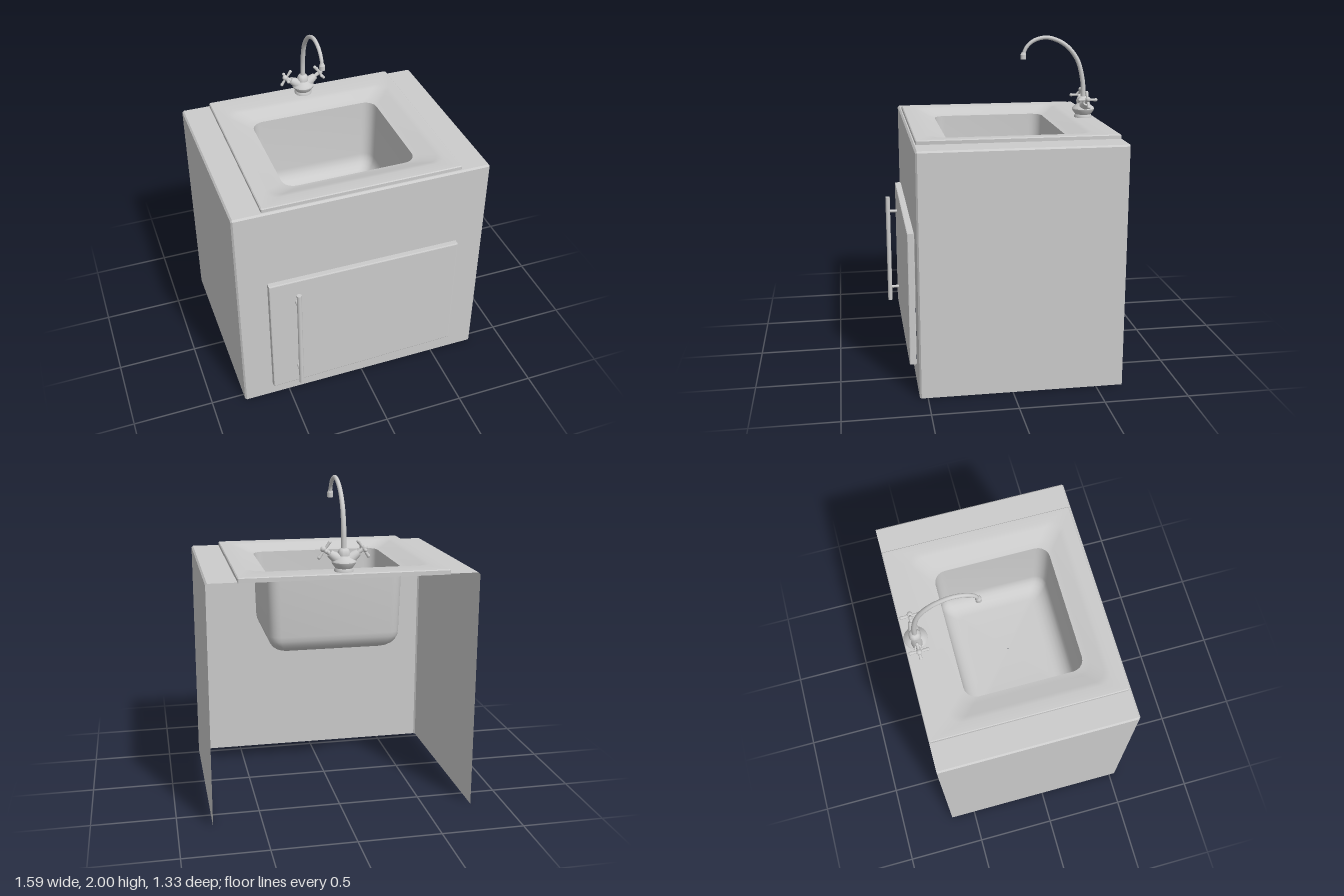
import * as THREE from 'three';
import { toCreasedNormals } from 'three/addons/utils/BufferGeometryUtils.js';

const mat = new THREE.MeshStandardMaterial({ color: 0xcccccc });
const sheet = new THREE.MeshStandardMaterial({ color: 0xcccccc, side: THREE.DoubleSide });
const V = (x, y, z) => new THREE.Vector3(x, y, z);

function add(parent, name, geometry, material = mat) {
  const mesh = new THREE.Mesh(geometry, material);
  mesh.name = name;
  parent.add(mesh);
  return mesh;
}

// Skin between rings of points, each ring having the same number of points
function loft(rings, closed, crease = 0.6) {
  const n = rings[0].length, index = [];
  for (let r = 0; r < rings.length - 1; r++) {
    for (let i = 0; i < (closed ? n : n - 1); i++) {
      const j = (i + 1) % n, a = r * n, b = a + n;
      index.push(a + i, a + j, b + j, a + i, b + j, b + i);
    }
  }
  const g = new THREE.BufferGeometry().setFromPoints(rings.flat());
  g.setIndex(index);
  return toCreasedNormals(g, crease);
}

// Rounded rectangle lying flat at height y
function roundRing(hx, z0, z1, r, y, seg = 5) {
  const pts = [];
  [[1, z1, 1], [1, z0, -1], [-1, z0, -1], [-1, z1, 1]].forEach(([sx, z, sz], c) => {
    for (let i = 0; i <= seg; i++) {
      const a = Math.PI / 2 * (1 - c - i / seg);
      pts.push(V(sx * (hx - r) + r * Math.cos(a), y, z - sz * r + r * Math.sin(a)));
    }
  });
  return pts;
}

// Cylinder or cone from p to q
function rod(parent, name, p, q, r0, r1 = r0, sides = 16) {
  const m = add(parent, name, new THREE.CylinderGeometry(r1, r0, p.distanceTo(q), sides));
  m.position.copy(p).lerp(q, 0.5);
  m.quaternion.setFromUnitVectors(V(0, 1, 0), q.clone().sub(p).normalize());
  return m;
}

function ball(parent, name, p, r) {
  add(parent, name, new THREE.SphereGeometry(r, 14, 10)).position.copy(p);
}

const polygon = (Type, pts) => new Type(pts.map(p => new THREE.Vector2(...p)));

// Door outline, its lower edge slightly slanted
const doorOutline = d => [
  [-0.61 + d, 0.10 + d], [0.605 - d, 0.13 + d], [0.605 - d, 0.94 - d], [-0.61 + d, 0.95 - d]];

function makeCabinet() {
  const g = new THREE.Group();
  g.name = 'cabinet';
  const X = 0.793, H = 1.46, back = -0.66, front = 0.547, b = 0.01;
  // Side walls with a chamfered front edge; back and bottom stay open
  for (const s of [-1, 1]) {
    const ring = y => [V(s * X, y, back), V(s * X, y, front - b), V(s * (X - b), y, front)];
    add(g, 'sideWall', loft([ring(0), ring(H - b)], false, 0.3), sheet);
  }
  // Chamfer around the top
  const lower = [[-X, back], [-X, front - b], [b - X, front], [X - b, front], [X, front - b], [X, back]];
  const upper = [[b - X, back], [b - X, front - b], [b - X, front - b],
    [X - b, front - b], [X - b, front - b], [X - b, back]];
  add(g, 'topEdge', loft([lower.map(([x, z]) => V(x, H - b, z)),
    upper.map(([x, z]) => V(x, H, z))], false, 0.3), sheet);
  // Front wall with the door opening
  const wall = polygon(THREE.Shape, [[b - X, 0], [X - b, 0], [X - b, H - b], [b - X, H - b]]);
  wall.holes.push(polygon(THREE.Path, doorOutline(0.012)));
  add(g, 'frontWall', new THREE.ShapeGeometry(wall), sheet).position.z = front;
  // Worktop, cut out for the sink
  const x = X - b, z = front - b;
  const top = polygon(THREE.Shape, [[-x, -z], [x, -z], [x, -back], [0.605, -back],
    [0.605, -0.52], [-0.605, -0.52], [-0.605, -back], [-x, -back]]);
  const topMesh = add(g, 'worktop', new THREE.ShapeGeometry(top), sheet);
  topMesh.rotation.x = -Math.PI / 2;
  topMesh.position.y = H;
  return g;
}

function makeDoor() {
  const g = new THREE.Group();
  g.name = 'door';
  const bevel = 0.006;
  const panel = new THREE.ExtrudeGeometry(polygon(THREE.Shape, doorOutline(bevel)), {
    depth: 0.03, bevelEnabled: true, bevelSize: bevel, bevelThickness: bevel, bevelSegments: 2 });
  add(g, 'doorPanel', panel).position.z = 0.548 + bevel;
  rod(g, 'handleBar', V(-0.445, 0.15, 0.65), V(-0.445, 0.89, 0.65), 0.015);
  for (const y of [0.245, 0.79]) rod(g, 'handleMount', V(-0.445, y, 0.585), V(-0.445, y, 0.65), 0.01);
  return g;
}

function makeSink() {
  const rings = [
    roundRing(0.615, -0.66, 0.53, 0.008, 1.455),
    roundRing(0.615, -0.66, 0.53, 0.008, 1.48),
    roundRing(0.61, -0.655, 0.525, 0.008, 1.485),
    roundRing(0.55, -0.515, 0.455, 0.07, 1.485),
    roundRing(0.52, -0.485, 0.425, 0.07, 1.479),
    roundRing(0.45, -0.425, 0.365, 0.07, 1.45),
    roundRing(0.413, -0.39, 0.33, 0.075, 1.442),
  ];
  // Bowl wall, rounded foot and floor
  const floor = 0.94, r = 0.11;
  for (let i = 0; i <= 6; i++) {
    const a = i / 6 * Math.PI / 2, d = 0.01 + r * (1 - Math.cos(a));
    rings.push(roundRing(0.413 - d, -0.39 + d, 0.33 - d, 0.075 - d * 0.4, floor + r * (1 - Math.sin(a))));
  }
  rings.push(roundRing(0.002, -0.032, -0.028, 0.001, floor - 0.004));
  const m = new THREE.Mesh(loft(rings, true), sheet);
  m.name = 'sink';
  return m;
}

function makeFaucet() {
  const g = new THREE.Group();
  g.name = 'faucet';
  // Turned body
  const profile = [[0, 1.48], [0.055, 1.48], [0.055, 1.495], [0.05, 1.505], [0.068, 1.53], [0.071, 1.54],
    [0.066, 1.55], [0.045, 1.565], [0.036, 1.575], [0.036, 1.595], [0.028, 1.61], [0.017, 1.618], [0, 1.62]];
  const body = new THREE.LatheGeometry(profile.map(p => new THREE.Vector2(...p)), 24);
  add(g, 'body', toCreasedNormals(body, 0.7)).position.z = -0.585;
  // Gooseneck spout, thinning towards its tip
  const path = new THREE.CatmullRomCurve3([[1.60, -0.585], [1.72, -0.577], [1.85, -0.54], [1.94, -0.465],
    [1.984, -0.375], [1.988, -0.315], [1.965, -0.25], [1.92, -0.208], [1.87, -0.195]]
    .map(([y, z]) => V(0, y, z)));
  const spout = new THREE.TubeGeometry(path, 36, 0.016, 12);
  const pos = spout.attributes.position;
  for (let i = 0; i < pos.count; i++) {
    const t = Math.floor(i / 13) / 36, c = path.getPointAt(t);
    const p = V(0, 0, 0).fromBufferAttribute(pos, i).sub(c).multiplyScalar(1 - 0.3 * t).add(c);
    pos.setXYZ(i, p.x, p.y, p.z);
  }
  add(g, 'spout', spout);
  rod(g, 'spoutTip', V(0, 1.857, -0.195), V(0, 1.885, -0.196), 0.018);
  rod(g, 'spoutCollar', V(0, 1.885, -0.196), V(0, 1.9, -0.198), 0.018, 0.012);
  // Cross-shaped tap on each side
  for (const s of [-1, 1]) {
    const tap = new THREE.Group();
    tap.name = s > 0 ? 'leftTap' : 'rightTap';
    const axis = V(s * 0.82, 0.57, 0), c = V(s * 0.113, 1.61, -0.585);
    const along = d => c.clone().addScaledVector(axis, d);
    rod(tap, 'tapArm', along(-0.1), along(-0.035), 0.036, 0.021);
    rod(tap, 'tapStem', along(-0.035), along(0.012), 0.012);
    ball(tap, 'tapHub', along(0.008), 0.017);
    for (const dir of [V(0, 0, 1), V(0, 0, -1), V(-s * 0.57, 0.82, 0), V(s * 0.57, -0.82, 0)]) {
      const tip = c.clone().addScaledVector(dir, 0.052);
      rod(tap, 'tapSpoke', c, tip, 0.006, 0.01, 12);
      ball(tap, 'tapSpokeEnd', tip, 0.0105);
    }
    g.add(tap);
  }
  return g;
}

export function createModel() {
  const model = new THREE.Group();
  model.name = 'sinkCabinet';
  model.add(makeCabinet(), makeDoor(), makeSink(), makeFaucet());
  return model;
}
